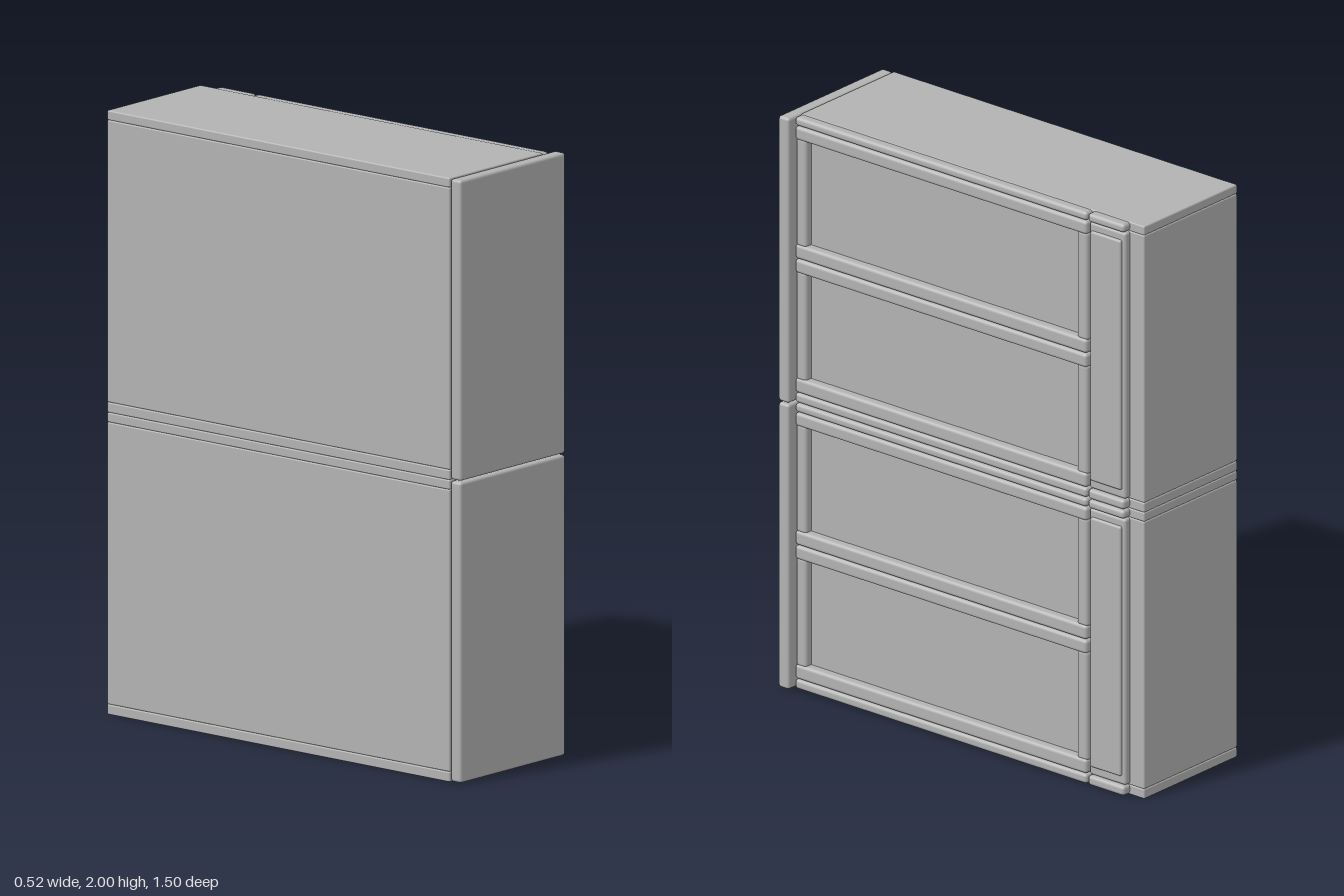
import * as THREE from 'three';
import { RoundedBoxGeometry } from 'three/addons/geometries/RoundedBoxGeometry.js';

const grey = new THREE.MeshStandardMaterial({ color: 0xb3b3b3 });
grey.name = 'grey';

// Rounded box given by its minimum and maximum on each axis
function block(parent, name, [x0, x1], [y0, y1], [z0, z1], radius) {
  const geometry = new RoundedBoxGeometry(x1 - x0, y1 - y0, z1 - z0, 3, radius);
  const mesh = new THREE.Mesh(geometry, grey);
  mesh.position.set((x0 + x1) / 2, (y0 + y1) / 2, (z0 + z1) / 2);
  mesh.name = name;
  parent.add(mesh);
}

function createUnit() {
  const unit = new THREE.Group();
  const bodyX = [-0.26, 0.203];
  const bodyZ = [-0.75, 0.702];
  const trimX = [0.195, 0.235];
  const bayZ = [-0.532, 0.702];
  const columnZ = [-0.69, -0.536];

  // Carcass: base slab, body and top slab
  block(unit, 'baseSlab', bodyX, [0, 0.034], bodyZ, 0.005);
  block(unit, 'body', bodyX, [0.034, 0.968], bodyZ, 0.005);
  block(unit, 'topSlab', bodyX, [0.968, 1], bodyZ, 0.005);

  // End panel, a little wider than the body
  block(unit, 'endPanel', [-0.26, 0.26], [0.003, 0.998], [0.705, 0.75], 0.01);

  // Horizontal rails across the two bays
  for (const y of [[0.002, 0.036], [0.037, 0.088], [0.455, 0.503], [0.505, 0.555], [0.92, 0.967], [0.969, 0.999]]) {
    block(unit, 'rail', trimX, y, bayZ, 0.012);
  }

  // Upright stiles at both ends of each bay
  for (const y of [[0.08, 0.462], [0.548, 0.927]]) {
    for (const z of [[-0.532, -0.486], [0.656, 0.702]]) {
      block(unit, 'stile', [0.195, 0.23], y, z, 0.012);
    }
  }

  // Narrow column beside the bays, with a raised panel
  block(unit, 'columnFoot', trimX, [0.002, 0.036], columnZ, 0.012);
  block(unit, 'columnFrame', [0.195, 0.226], [0.037, 0.967], columnZ, 0.01);
  block(unit, 'columnHead', trimX, [0.969, 0.999], columnZ, 0.012);
  block(unit, 'columnPanel', [0.21, 0.235], [0.068, 0.94], [-0.676, -0.546], 0.008);
  return unit;
}

export function createModel() {
  const model = new THREE.Group();
  model.name = 'stackedCabinet';
  // Two identical units, one on the other
  ['lowerUnit', 'upperUnit'].forEach((name, i) => {
    const unit = createUnit();
    unit.name = name;
    unit.position.y = i;
    model.add(unit);
  });
  return model;
}
